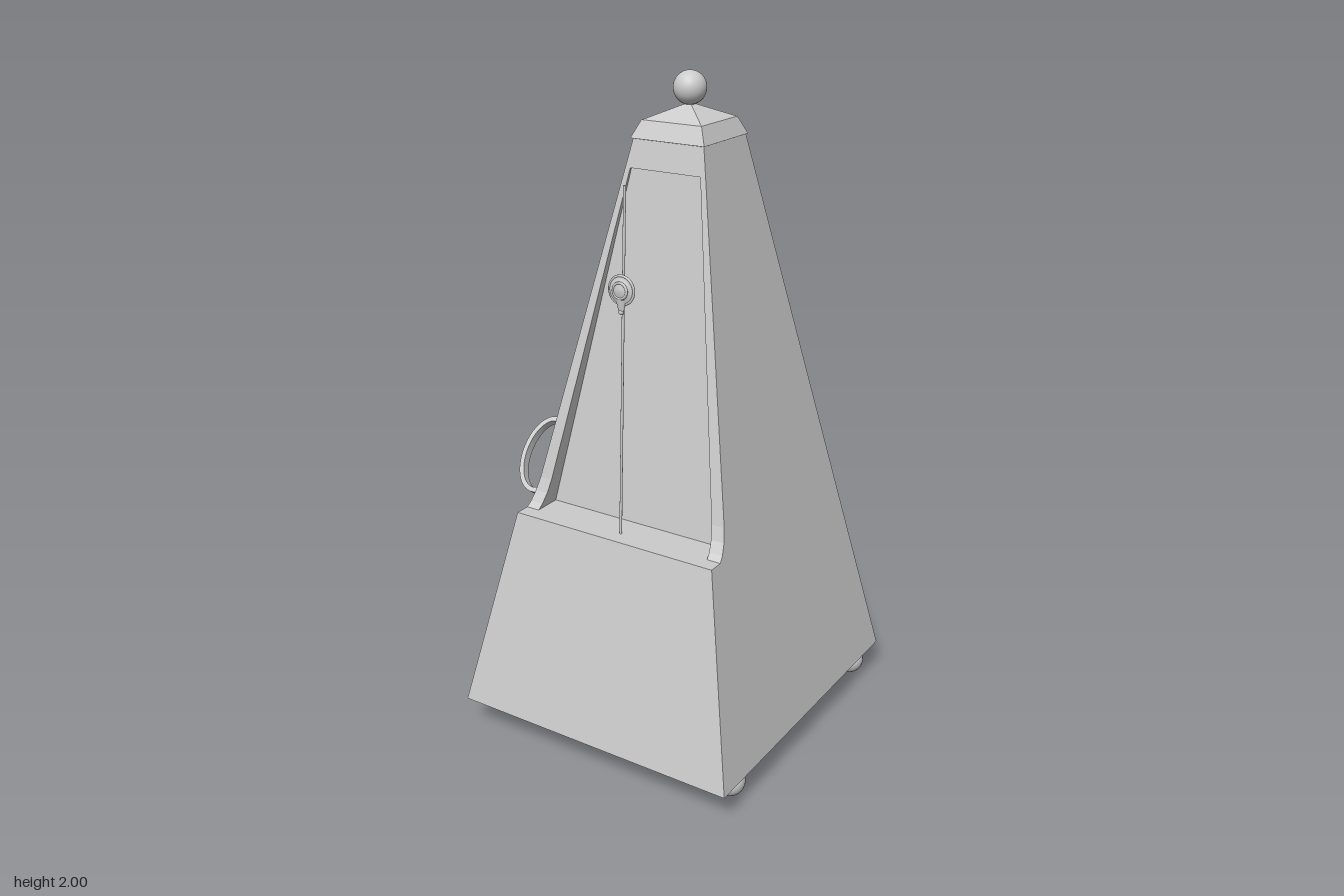
import * as THREE from 'three';

const CX = 0.08; // case centre line
const CZ = -0.038; // cap and key axis
const smooth = new THREE.MeshStandardMaterial({ color: 0xcccccc });
const faceted = new THREE.MeshStandardMaterial({ color: 0xcccccc, flatShading: true });

function add(parent, name, geometry, x = 0, y = 0, z = 0, material = smooth) {
  const mesh = new THREE.Mesh(geometry, material);
  mesh.name = name;
  mesh.position.set(x, y, z);
  parent.add(mesh);
  return mesh;
}

// Tapered case with a sloping front recess, built from planar quads
function caseGeometry() {
  const base = 0.095, ledge = 0.72, head = 1.735, top = 1.815;
  const outer = y => 0.465 - 0.203 * (y - base);
  const inner = y => 0.295 - 0.177 * (y - ledge);
  const back = y => -0.505 + 0.203 * (y - base);
  const recess = y => 0.245 - 0.1576 * (y - ledge);
  // Front edge of the cheeks as [z, y], with the scooped foot
  const cheek = [[0.331, ledge], [0.315, 0.735], [0.297, 0.765], [0.283, 0.805], [0.092, head]];
  const profile = [[0.505, base], [0.378, ledge], ...cheek, [0.076, top]];

  const pos = [];
  const quad = (a, b, c, d) => pos.push(...a, ...b, ...c, ...a, ...c, ...d);
  const sided = (s, a, b, c, d) => {
    const q = [a, b, c, d].map(([x, y, z]) => [s * x, y, z]);
    quad(...(s > 0 ? q : q.reverse()));
  };
  // Full-width panel between two [halfWidth, y, z] edges
  const panel = ([w0, y0, z0], [w1, y1, z1]) =>
    quad([-w0, y0, z0], [w0, y0, z0], [w1, y1, z1], [-w1, y1, z1]);
  const edge = (y, z) => [outer(y), y, z];

  panel(edge(base, 0.505), edge(ledge, 0.378)); // lower front
  panel(edge(ledge, 0.378), edge(ledge, 0.331)); // ledge
  panel([inner(ledge), ledge, 0.331], [inner(ledge), ledge, recess(ledge)]); // recess floor
  panel([inner(ledge), ledge, recess(ledge)], [inner(head), head, recess(head)]); // recess back
  panel([inner(head), head, recess(head)], [inner(head), head, 0.092]); // recess ceiling
  panel(edge(head, 0.092), edge(top, 0.076)); // header
  panel(edge(top, 0.076), edge(top, back(top))); // top
  panel(edge(top, back(top)), edge(base, back(base))); // back
  panel(edge(base, back(base)), edge(base, 0.505)); // underside

  for (const s of [1, -1]) {
    // outer flanks
    for (let i = 0; i < profile.length - 1; i++) {
      const [z0, y0] = profile[i], [z1, y1] = profile[i + 1];
      if (y1 === y0) continue;
      sided(s, [outer(y0), y0, z0], [outer(y0), y0, back(y0)],
        [outer(y1), y1, back(y1)], [outer(y1), y1, z1]);
    }
    // cheek fronts and inner recess walls
    for (let i = 0; i < cheek.length - 1; i++) {
      const [z0, y0] = cheek[i], [z1, y1] = cheek[i + 1];
      sided(s, [inner(y0), y0, z0], [outer(y0), y0, z0], [outer(y1), y1, z1], [inner(y1), y1, z1]);
      sided(s, [inner(y0), y0, recess(y0)], [inner(y0), y0, z0],
        [inner(y1), y1, z1], [inner(y1), y1, recess(y1)]);
    }
  }
  const g = new THREE.BufferGeometry();
  g.setAttribute('position', new THREE.Float32BufferAttribute(pos, 3));
  g.computeVertexNormals();
  return g;
}

// Oval band used as the key handle
function ringGeometry(rx, ry, wall, depth) {
  const shape = new THREE.Shape().absellipse(0, 0, rx, ry, 0, Math.PI * 2);
  shape.holes.push(new THREE.Path().absellipse(0, 0, rx - wall, ry - wall, 0, Math.PI * 2, true));
  return new THREE.ExtrudeGeometry(shape, { depth, bevelEnabled: false, curveSegments: 32 })
    .translate(0, 0, -depth / 2);
}

export function createModel() {
  const model = new THREE.Group();
  model.name = 'metronome';

  add(model, 'case', caseGeometry(), CX, 0, 0, faceted);

  // Cap: bevelled square slab, shallow pyramid and ball
  const r2 = Math.SQRT2;
  add(model, 'capBase', new THREE.CylinderGeometry(0.098 * r2, 0.121 * r2, 0.05, 4).rotateY(Math.PI / 4),
    CX, 1.842, CZ, faceted);
  add(model, 'capRoof', new THREE.ConeGeometry(0.098 * r2, 0.045, 4).rotateY(Math.PI / 4),
    CX, 1.889, CZ, faceted);
  add(model, 'finial', new THREE.SphereGeometry(0.048, 32, 24), CX, 1.952, CZ);

  // Ball feet
  for (const x of [-0.402, 0.402])
    for (const z of [-0.432, 0.363])
      add(model, 'foot', new THREE.SphereGeometry(0.046, 24, 16), CX + x, 0.046, z);

  // Winding key
  const key = new THREE.Group();
  key.name = 'windingKey';
  key.position.set(-0.462, 0.708, CZ);
  add(key, 'keyShaft', new THREE.CylinderGeometry(0.012, 0.012, 0.13, 16).rotateZ(Math.PI / 2), 0.143);
  add(key, 'keyRing', ringGeometry(0.088, 0.132, 0.016, 0.03)).rotation.x = -0.645;
  model.add(key);

  // Pendulum: thin rod leaning back with a sliding weight
  const pendulum = new THREE.Group();
  pendulum.name = 'pendulum';
  pendulum.position.set(CX, 0.72, 0.326);
  pendulum.rotation.x = -0.035;
  add(pendulum, 'rod', new THREE.CylinderGeometry(0.004, 0.004, 1.016, 10), 0, 0.508);
  const weight = new THREE.Group();
  weight.name = 'weight';
  weight.position.set(0, 0.73, 0.009);
  const disc = [[0, -0.006], [0.034, -0.006], [0.043, 0], [0.034, 0.005], [0.026, 0.005], [0.022, 0.011], [0, 0.013]];
  add(weight, 'weightDisc', new THREE.LatheGeometry(disc.map(p => new THREE.Vector2(...p)), 32).rotateX(Math.PI / 2));
  add(weight, 'weightRim', new THREE.TorusGeometry(0.04, 0.004, 8, 32));
  add(weight, 'weightHub', new THREE.TorusGeometry(0.022, 0.004, 8, 24), 0, 0, 0.009);
  add(weight, 'weightClip', new THREE.CylinderGeometry(0.018, 0.007, 0.04, 12).scale(1, 1, 0.5), 0, -0.045, 0.001);
  add(weight, 'weightTip', new THREE.SphereGeometry(0.008, 12, 8), 0, -0.062, 0);
  pendulum.add(weight);
  model.add(pendulum);

  return model;
}
